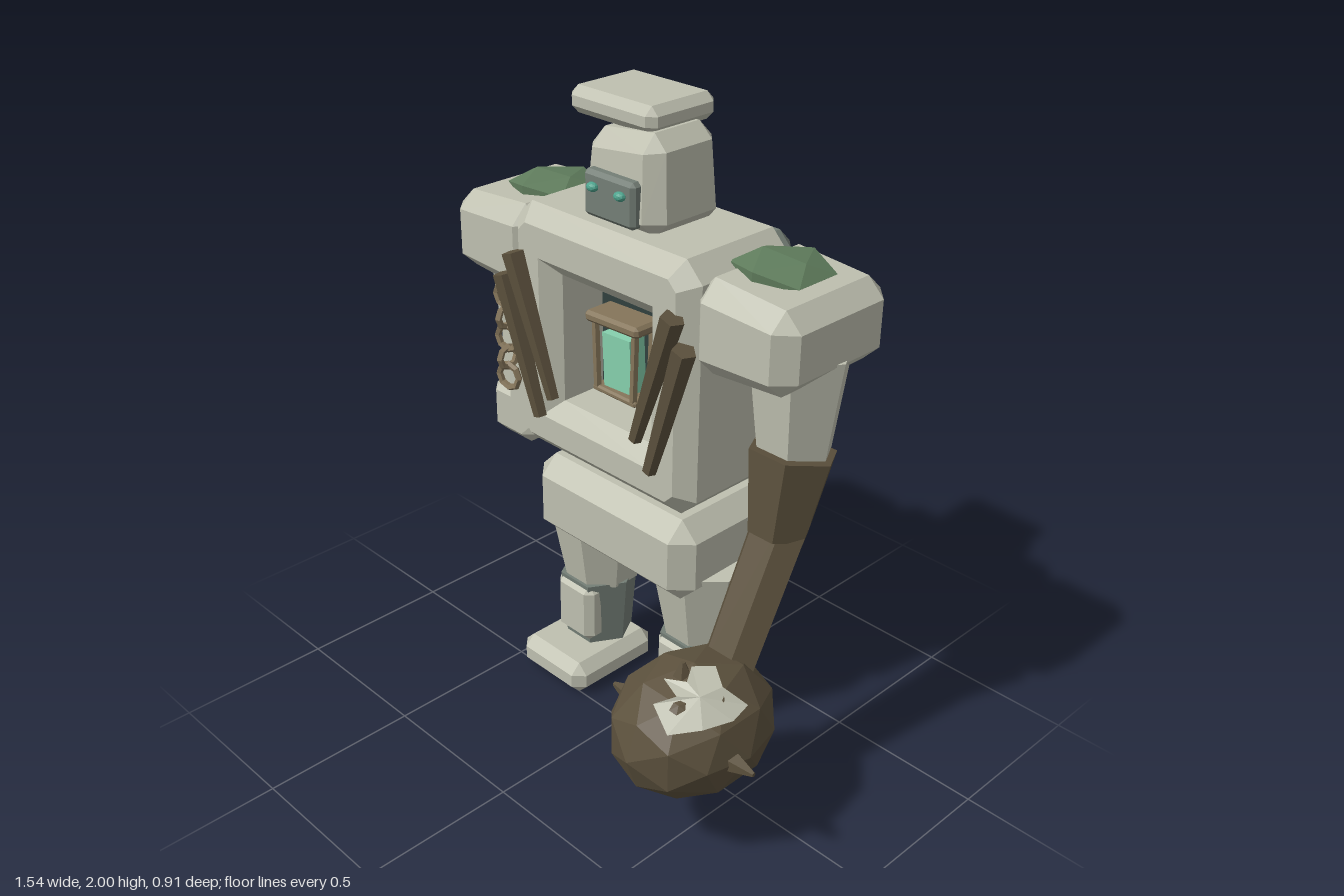
import * as THREE from 'three';
import { ConvexGeometry } from 'three/addons/geometries/ConvexGeometry.js';

const CX = -0.083; // the body's own centre line
const V = (x, y, z) => new THREE.Vector3(x, y, z);

export function createModel() {
  const root = new THREE.Group();
  root.name = 'stoneGolem';

  const material = (name, color, extra = {}) => {
    const m = new THREE.MeshStandardMaterial({ color, ...extra });
    m.name = name;
    return m;
  };
  const stone = material('pale stone', 0xbfc0b0);
  const shard = material('pale stone flake', 0xbfc0b0, { side: THREE.DoubleSide });
  const slate = material('grey slate', 0x747e76);
  const moss = material('moss', 0x5f7c5c);
  const wood = material('dark wood', 0x5c513d);
  const brass = material('lantern wood', 0x85755a);
  const dark = material('cavity dark', 0x30403e);
  const glow = material('glow', 0x86d0ad);
  const eye = material('eye teal', 0x4fa48e);

  // Faceted mesh helper
  const add = (name, geo, mat, x = 0, y = 0, z = 0) => {
    const g = geo.index ? geo.toNonIndexed() : geo;
    g.computeVertexNormals();
    const mesh = new THREE.Mesh(g, mat);
    mesh.name = name;
    mesh.position.set(x, y, z);
    root.add(mesh);
    return mesh;
  };

  // Box with cut edges; warp may move each corner point
  const block = (w, h, d, c, warp) => {
    const pts = [];
    for (const sx of [-1, 1]) for (const sy of [-1, 1]) for (const sz of [-1, 1]) {
      for (let full = 0; full < 3; full++) {
        const inset = (i) => (i === full ? 0 : c);
        const p = V(sx * (w / 2 - inset(0)), sy * (h / 2 - inset(1)), sz * (d / 2 - inset(2)));
        if (warp) warp(p);
        pts.push(p);
      }
    }
    return new ConvexGeometry(pts);
  };

  // Tapered faceted limb from a to b
  const limb = (name, a, b, ra, rb, mat, sides = 6, depth = 1) => {
    const dir = b.clone().sub(a);
    const g = new THREE.CylinderGeometry(rb, ra, dir.length(), sides);
    g.rotateY(Math.PI / sides);
    g.scale(1, 1, depth);
    const m = add(name, g, mat);
    m.position.copy(a).add(b).multiplyScalar(0.5);
    m.quaternion.setFromUnitVectors(V(0, 1, 0), dir.normalize());
    return m;
  };

  // Torso: bevelled frame with an open chest
  const cut = 0.03, hw = 0.32, y0 = 0.93, y1 = 1.615;
  const outline = new THREE.Shape([
    [-hw + cut, y0], [hw - cut, y0], [hw, y0 + cut], [hw, y1 - cut],
    [hw - cut, y1], [-hw + cut, y1], [-hw, y1 - cut], [-hw, y0 + cut],
  ].map(([x, y]) => new THREE.Vector2(x, y)));
  outline.holes.push(new THREE.Path([
    [-0.235, 1.01], [-0.235, 1.52], [0.235, 1.52], [0.235, 1.01],
  ].map(([x, y]) => new THREE.Vector2(x, y))));
  add('torso', new THREE.ExtrudeGeometry(outline, {
    depth: 0.34, bevelEnabled: true, bevelThickness: 0.05, bevelSize: 0.05, bevelSegments: 1,
  }), stone, CX, 0, -0.36);
  add('cavityBack', new THREE.BoxGeometry(0.46, 0.5, 0.02), stone, CX, 1.265, -0.19);
  add('cavityPanel', new THREE.BoxGeometry(0.32, 0.42, 0.02), dark, CX, 1.26, -0.165);
  add('backSlab', block(0.68, 0.76, 0.15, 0.045), slate, CX, 1.26, -0.38);
  add('pelvis', block(0.675, 0.28, 0.445, 0.06), stone, CX, 0.685, -0.2225);

  // Head, face plate, eyes and flat cap
  add('head', block(0.325, 0.28, 0.3, 0.05, (p) => {
    const k = 1 - 0.14 * (p.y + 0.14) / 0.28;
    p.x *= k;
    p.z *= k;
    if (p.y > 0) p.y += p.x * 0.12;
  }), stone, CX, 1.785, -0.195);
  add('facePlate', block(0.2, 0.135, 0.05, 0.012), slate, CX, 1.745, -0.05);
  for (const s of [-1, 1]) {
    const e = add('eye', new THREE.IcosahedronGeometry(0.02, 1), eye, CX + s * 0.054, 1.77, -0.02);
    e.scale.set(1, 0.7, 0.8);
  }
  add('cap', block(0.34, 0.08, 0.265, 0.025), stone, -0.16, 1.96, -0.2325);

  for (const s of [-1, 1]) {
    // Shoulders narrow outwards and carry moss
    const sx = CX + s * 0.505;
    add('shoulder', block(0.355, 0.265, 0.445, 0.055, (p) => {
      p.y *= 1 - s * p.x * 0.55;
    }), stone, sx, 1.485, -0.2225);
    const m = add('shoulderMoss', new THREE.IcosahedronGeometry(0.145, 0), moss, CX + s * 0.46, 1.625, -0.235);
    m.scale.set(1, 0.29, 1.02);
    m.rotation.z = -s * 0.04;
    limb('upperArm', V(CX + s * 0.55, 1.11, -0.22), V(CX + s * 0.545, 1.42, -0.23), 0.11, 0.15, stone);

    // Legs
    const lx = CX + s * 0.2325;
    limb('thigh', V(lx, 0.34, -0.215), V(lx, 0.625, -0.21), 0.125, 0.175, stone, 8);
    limb('shin', V(lx, 0.09, -0.2), V(lx, 0.35, -0.2), 0.11, 0.13, slate, 6);
    add('kneePlate', block(0.165, 0.215, 0.08, 0.025), stone, lx, 0.24, -0.115);
    add('foot', block(0.297, 0.115, 0.355, 0.035), stone, lx, 0.0575, -0.143);

    // Slanted wooden ribs
    limb('rib', V(CX + s * 0.175, 1.09, 0.035), V(CX + s * 0.325, 1.52, 0.045), 0.02, 0.036, wood, 5);
    limb('rib', V(CX + s * 0.235, 1.01, 0.035), V(CX + s * 0.37, 1.44, 0.045), 0.022, 0.036, wood, 5);
  }

  // Stone forearm and fist
  limb('forearm', V(-0.635, 0.92, -0.2), V(-0.63, 1.14, -0.215), 0.1, 0.105, stone);
  add('fist', block(0.205, 0.2, 0.2, 0.04), stone, -0.638, 0.85, -0.2);

  // Wooden forearm ending in a spiked ball
  limb('woodenForearm', V(0.475, 0.87, -0.16), V(0.475, 1.12, -0.205), 0.092, 0.132, wood);
  limb('clubHandle', V(0.48, 0.48, 0.05), V(0.475, 0.93, -0.185), 0.088, 0.095, wood, 6, 0.75);
  const C = V(0.49, 0.395, 0.19), R = V(0.222, 0.205, 0.262);
  const ball = new THREE.IcosahedronGeometry(1, 1);
  ball.scale(R.x, R.y, R.z);
  add('clubBall', ball, wood, C.x, C.y, C.z);
  for (const [dx, dy, len] of [[1, 0, 0.275], [-1, 0, 0.275], [0, 1, 0.23], [0, -1, 0.225]]) {
    const base = V(C.x + dx * 0.19, C.y + dy * 0.17, 0.235);
    limb('spike', base, V(C.x + dx * len, C.y + dy * len, 0.235), 0.035, 0.007, wood, 5);
  }

  // Ragged pale patch hugging the top of the ball
  const onBall = (x, z) => {
    const u = (x - C.x) / R.x, w = (z - C.z) / R.z;
    return V(x, C.y + R.y * Math.sqrt(Math.max(0, 1 - u * u - w * w)) + 0.004, z);
  };
  const rim = [
    [0.5, 0.21], [0.54, 0.155], [0.6, 0.19], [0.66, 0.15], [0.67, 0.22], [0.64, 0.31],
    [0.58, 0.385], [0.5, 0.36], [0.54, 0.31], [0.47, 0.29], [0.53, 0.26],
  ];
  const fan = [];
  rim.forEach((p, i) => {
    const q = rim[(i + 1) % rim.length];
    for (const v of [onBall(0.585, 0.265), onBall(...q), onBall(...p)]) fan.push(v);
  });
  add('ballPatch', new THREE.BufferGeometry().setFromPoints(fan), shard);

  // Lantern inside the chest
  const lz = -0.09;
  add('lanternCap', block(0.22, 0.035, 0.11, 0.01), brass, CX - 0.004, 1.365, lz).rotation.z = 0.04;
  add('lanternBase', block(0.18, 0.02, 0.09, 0.006), brass, CX, 1.135, lz);
  for (const s of [-1, 1]) for (const t of [-1, 1]) {
    limb('lanternPost', V(CX + s * 0.075, 1.13, lz + t * 0.035), V(CX + s * 0.083, 1.36, lz + t * 0.035), 0.012, 0.012, brass, 5);
  }
  add('lanternGlow', new THREE.BoxGeometry(0.115, 0.17, 0.06), glow, CX, 1.235, lz).rotation.z = 0.05;

  // Hanging chain with a stone flake
  [1.355, 1.285, 1.215, 1.15, 1.085].forEach((y, i) => {
    const link = add('chainLink', new THREE.TorusGeometry(i % 2 ? 0.034 : 0.04, 0.011, 5, 8), brass, -0.475, y, 0.025);
    link.rotation.y = i % 2 ? Math.PI / 2 : 0.15;
  });
  const flake = new THREE.Shape([
    [-0.05, 0.11], [0.05, 0.12], [0.06, -0.06], [0, -0.12], [-0.055, -0.06],
  ].map(([x, y]) => new THREE.Vector2(x, y)));
  add('chainFlake', new THREE.ShapeGeometry(flake), shard, -0.475, 0.985, -0.02);

  return root;
}
